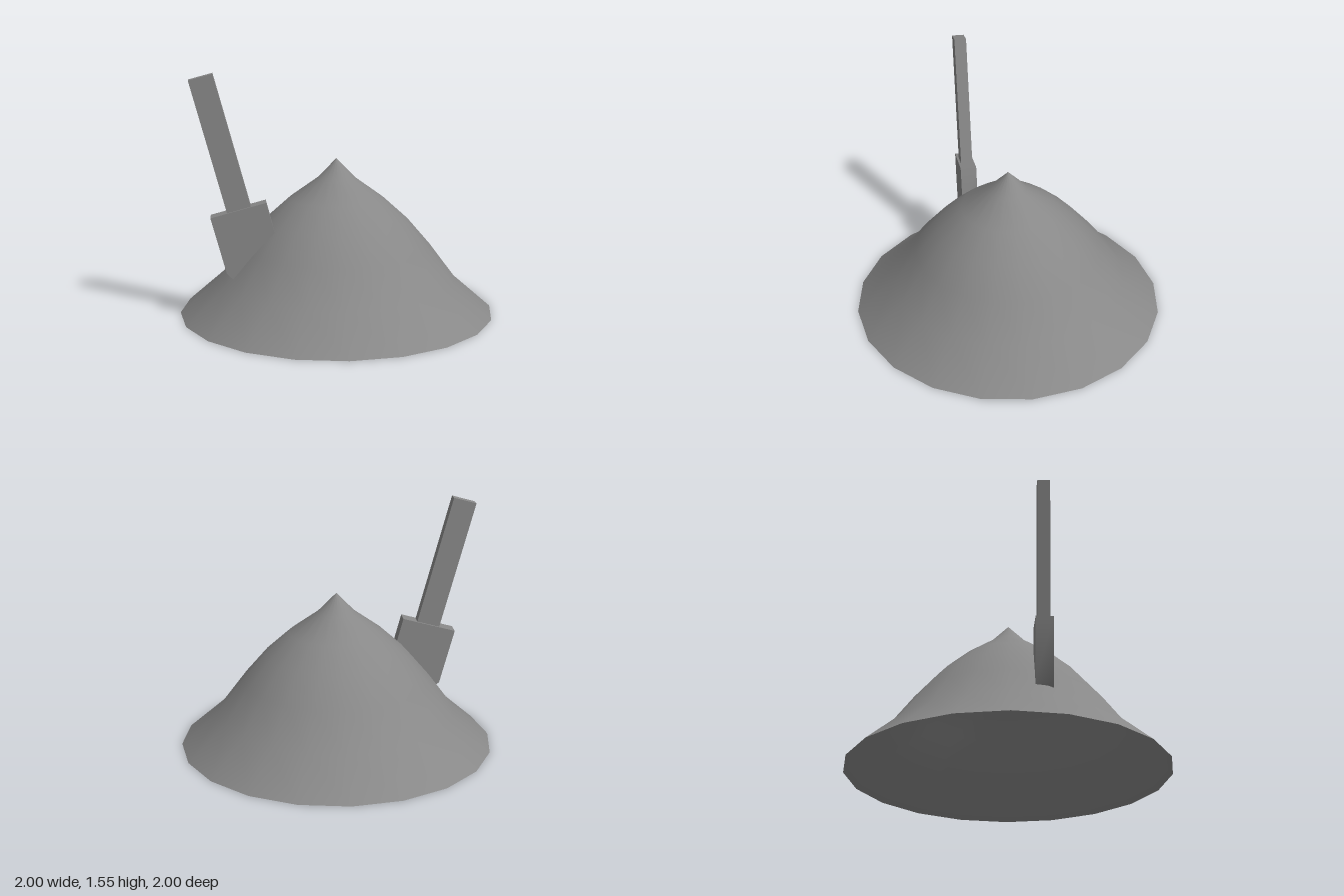
import * as THREE from 'three';
import { toCreasedNormals } from 'three/addons/utils/BufferGeometryUtils.js';

const darkGrey = () => new THREE.MeshStandardMaterial({ color: 0x888888, side: THREE.DoubleSide });

function add(parent, name, geometry) {
  const mesh = new THREE.Mesh(geometry, darkGrey());
  mesh.name = name;
  parent.add(mesh);
}

export function createModel() {
  const model = new THREE.Group();
  model.name = 'pileWithShovel';

  // Smooth heap, open underneath, 20 sides
  const profile = [[1, 0], [0.76, 0.21], [0.6, 0.425], [0.455, 0.595], [0.3, 0.735], [0.12, 0.865], [0, 0.99]]
    .map(([r, y]) => new THREE.Vector2(r, y));
  add(model, 'pile', new THREE.LatheGeometry(profile, 20));

  // Shovel leaning to the side; its origin is the middle of the blade's top edge
  const shovel = new THREE.Group();
  shovel.name = 'shovel';
  shovel.position.set(-0.62, 0.715, 0.197);
  shovel.rotation.z = THREE.MathUtils.degToRad(15);
  model.add(shovel);

  // Blade: thick plate narrowing at the lower end, shaded smoothly around its rim
  const outline = [[-0.176, 0], [-0.176, -0.365], [-0.1, -0.49], [0.1, -0.49], [0.176, -0.365], [0.176, 0]]
    .map(([x, y]) => new THREE.Vector2(x, y));
  const depth = 0.104;
  const blade = new THREE.ExtrudeGeometry(new THREE.Shape(outline), { depth, bevelEnabled: false });
  blade.translate(0, 0, -depth / 2);
  add(shovel, 'blade', toCreasedNormals(blade, 1.2));

  // Square-cut handle
  const length = 0.843;
  const handle = new THREE.BoxGeometry(0.15, length, 0.076);
  handle.translate(0.004, length / 2, 0);
  add(shovel, 'handle', handle);

  return model;
}
